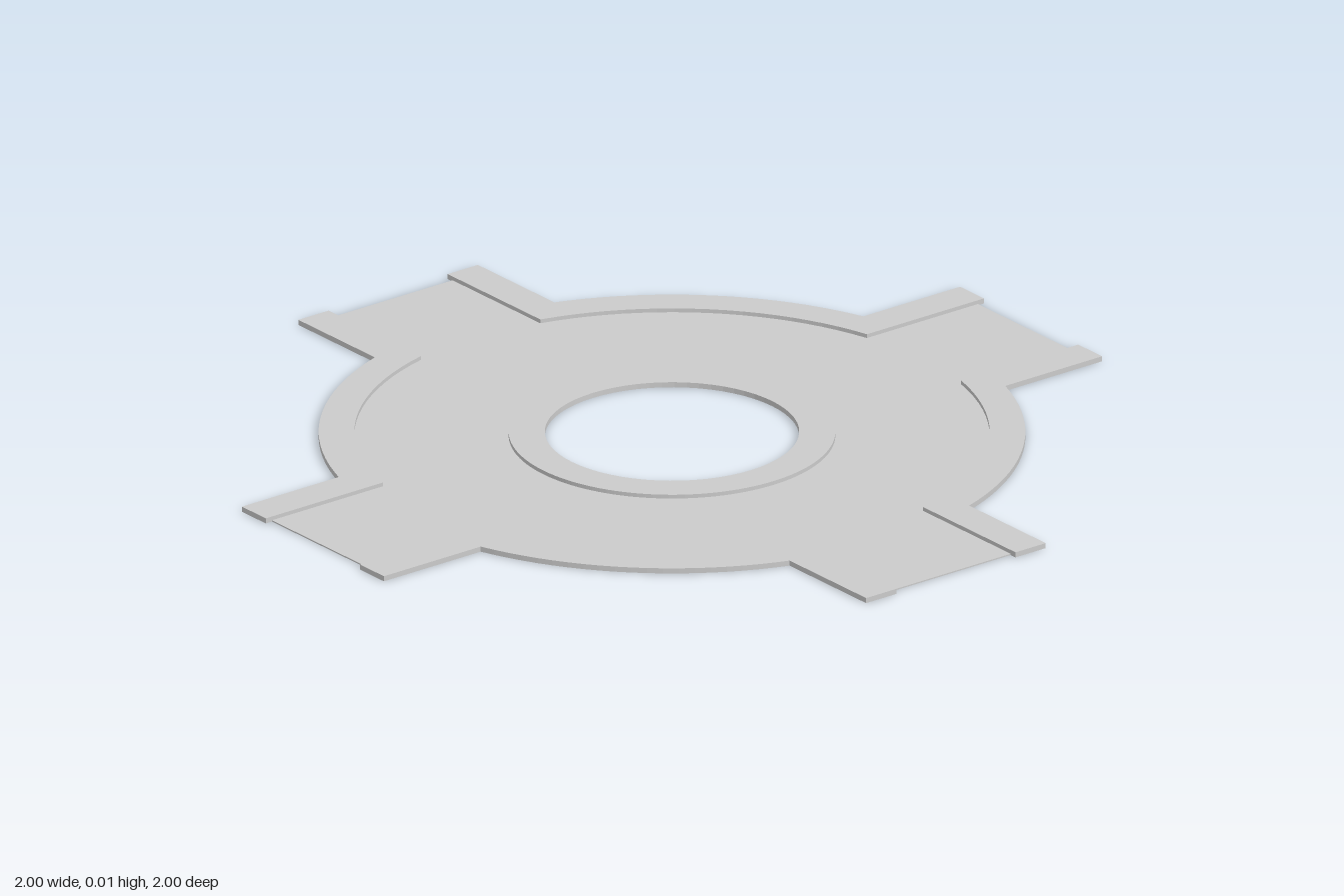
import * as THREE from 'three';

const HEIGHT = 0.012, ROAD_HEIGHT = 0.003;
const OUTER_R = 0.772, INNER_R = 0.694;      // kerb arc radii
const OUTER_W = 0.25, INNER_W = 0.166;       // arm half widths
const RING_R = 0.357, HOLE_R = 0.278;
const ROAD_END = 0.983;

// Points on an arc of radius r between the two arms of one quadrant
function quadrantArc(r, halfWidth, quarter = 0, steps = 20) {
  const a = Math.asin(halfWidth / r);
  return Array.from({ length: steps + 1 }, (_, i) => {
    const t = a + (Math.PI / 2 - 2 * a) * (i / steps) + quarter * Math.PI / 2;
    return new THREE.Vector2(r * Math.cos(t), r * Math.sin(t));
  });
}

function circle(r) {
  return new THREE.Path().absarc(0, 0, r, 0, Math.PI * 2, false);
}

// Extrude a plan shape upward from the ground
function slab(name, shape, height, material) {
  const geometry = new THREE.ExtrudeGeometry(shape, { depth: height, bevelEnabled: false, curveSegments: 32 });
  geometry.rotateX(-Math.PI / 2);
  const mesh = new THREE.Mesh(geometry, material);
  mesh.name = name;
  return mesh;
}

export function createModel() {
  const group = new THREE.Group();
  group.name = 'roundabout';
  const material = new THREE.MeshStandardMaterial({ color: 0xcccccc });

  // Low road surface with four arms
  const outline = [];
  for (let q = 0; q < 4; q++) {
    const c = new THREE.Vector2();
    const turn = (x, y) => new THREE.Vector2(x, y).rotateAround(c, q * Math.PI / 2);
    outline.push(turn(ROAD_END, -INNER_W), turn(ROAD_END, INNER_W), ...quadrantArc(INNER_R, INNER_W, q));
  }
  const road = new THREE.Shape(outline);
  road.holes.push(circle(RING_R));
  group.add(slab('roadSurface', road, ROAD_HEIGHT, material));

  // Raised ring around the central opening
  const ring = new THREE.Shape(circle(RING_R).getPoints(64));
  ring.holes.push(circle(HOLE_R));
  group.add(slab('centralKerb', ring, HEIGHT, material));

  // Raised corner kerbs between neighbouring arms
  const kerb = new THREE.Shape([
    new THREE.Vector2(1, INNER_W),
    new THREE.Vector2(1, OUTER_W),
    ...quadrantArc(OUTER_R, OUTER_W),
    new THREE.Vector2(OUTER_W, 1),
    new THREE.Vector2(INNER_W, 1),
    ...quadrantArc(INNER_R, INNER_W).reverse(),
  ]);
  for (let q = 0; q < 4; q++) {
    const mesh = slab('cornerKerb' + (q + 1), kerb, HEIGHT, material);
    mesh.rotation.y = q * Math.PI / 2;
    group.add(mesh);
  }
  return group;
}
